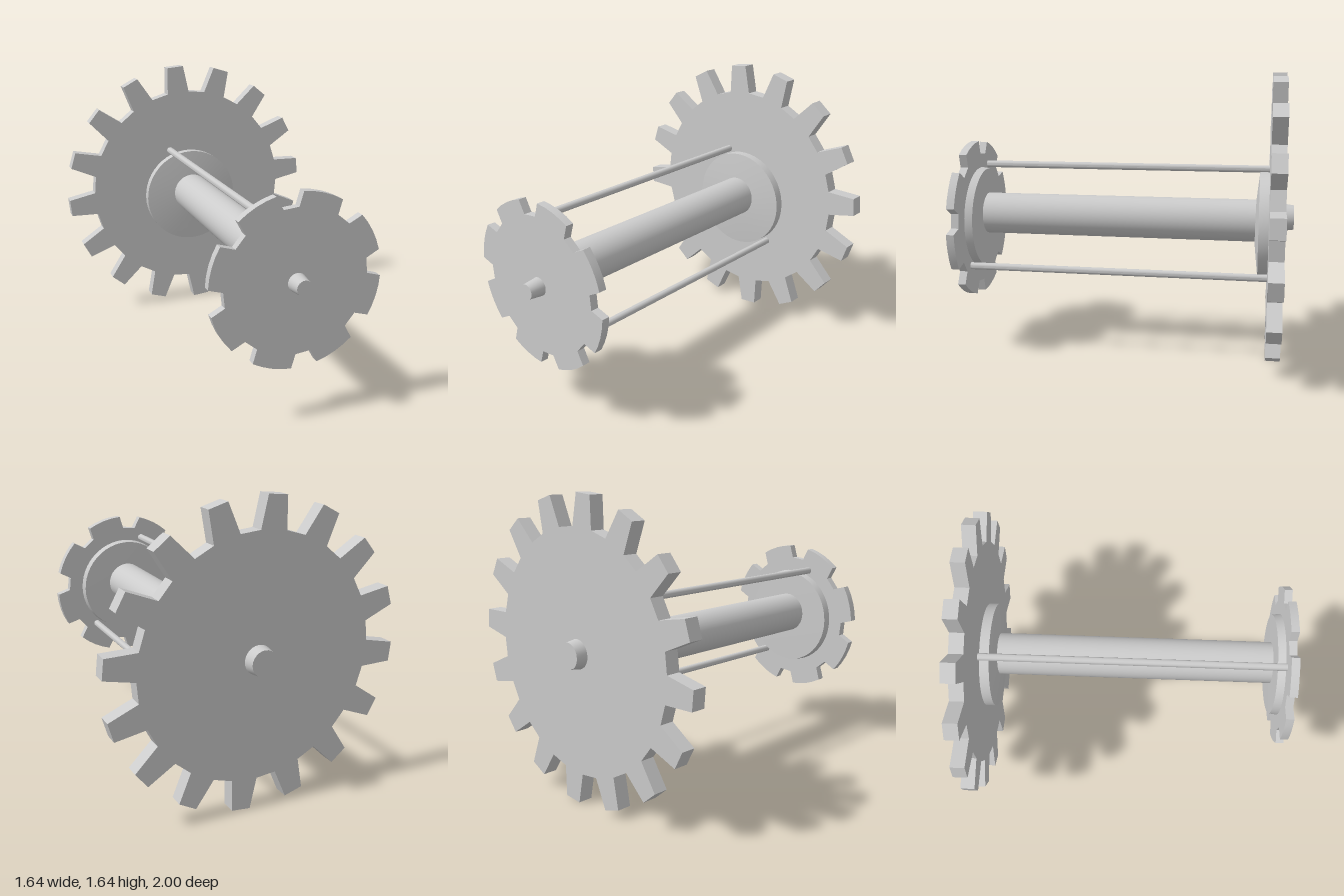
import * as THREE from 'three';
import { toCreasedNormals } from 'three/addons/utils/BufferGeometryUtils.js';

const material = new THREE.MeshStandardMaterial({ color: 0xcccccc });
const DEG = Math.PI / 180;

function addPart(group, name, geometry, x, y) {
  const mesh = new THREE.Mesh(toCreasedNormals(geometry, 0.6), material);
  mesh.name = name;
  mesh.position.set(x, y, 0);
  group.add(mesh);
}

// Solid turned along z from [radius, z] pairs, listed from back to front
function turned(profile, sides) {
  const points = profile.map(([r, z]) => new THREE.Vector2(r, z));
  return new THREE.LatheGeometry(points, sides).rotateX(Math.PI / 2);
}

// Toothed plate: one period of [radius, degrees] corners repeated around z
function gear(count, start, corners, back, depth) {
  const points = [];
  for (let i = 0; i < count; i++) {
    for (const [r, degrees] of corners) {
      const a = (start + degrees + (i * 360) / count) * DEG;
      points.push(new THREE.Vector2(r * Math.cos(a), r * Math.sin(a)));
    }
  }
  return new THREE.ExtrudeGeometry(new THREE.Shape(points), { depth, bevelEnabled: false })
    .translate(0, 0, back);
}

export function createModel() {
  const group = new THREE.Group();
  const bigY = 0.82, smallY = 0.765, flangeY = 0.77, shaftY = 0.795;

  // Large rear gear: 16 straight, slightly tapered teeth
  const tooth = [[0.65, -6.4], [0.818, -3.7], [0.818, 3.7], [0.65, 6.4]];
  addPart(group, 'largeGear', gear(16, 5.6, tooth, -0.94, 0.08), 0, bigY);

  // Small front gear: 8 notches between rounded lobes
  const notch = [[0.467, -8.9], [0.39, -6.1], [0.39, 6.1]];
  for (let i = 0; i <= 4; i++) notch.push([0.467, 8.9 + (i * 27.2) / 4]);
  notch.shift(); // the last lobe point already closes onto the next notch
  addPart(group, 'smallGear', gear(8, 6, notch, 0.868, 0.046), 0, smallY);

  // Axle and its tapered end stubs
  addPart(group, 'shaft', turned([[0, -0.84], [0.122, -0.84], [0.122, 0.85], [0, 0.85]], 40), 0, shaftY);
  addPart(group, 'rearStub', turned([[0, -1], [0.07, -1], [0.08, -0.93], [0, -0.93]], 24), 0, bigY);
  addPart(group, 'frontStub', turned([[0, 0.9], [0.053, 0.9], [0.042, 1], [0, 1]], 24), 0, smallY);

  // Flanges against the inner faces of the gears
  addPart(group, 'rearFlange', turned(
    [[0, -0.865], [0.305, -0.865], [0.305, -0.805], [0.12, -0.785], [0, -0.785]], 48), 0, flangeY);
  addPart(group, 'frontFlange', turned(
    [[0, 0.818], [0.295, 0.823], [0.302, 0.872], [0, 0.872]], 48), 0, flangeY);

  // Two thin tie rods joining the gears
  for (const [name, x, y] of [['upperRod', -0.128, 1.08], ['lowerRod', 0.206, 0.507]]) {
    addPart(group, name, turned([[0, -0.87], [0.021, -0.87], [0.021, 0.875], [0, 0.875]], 14), x, y);
  }
  return group;
}
